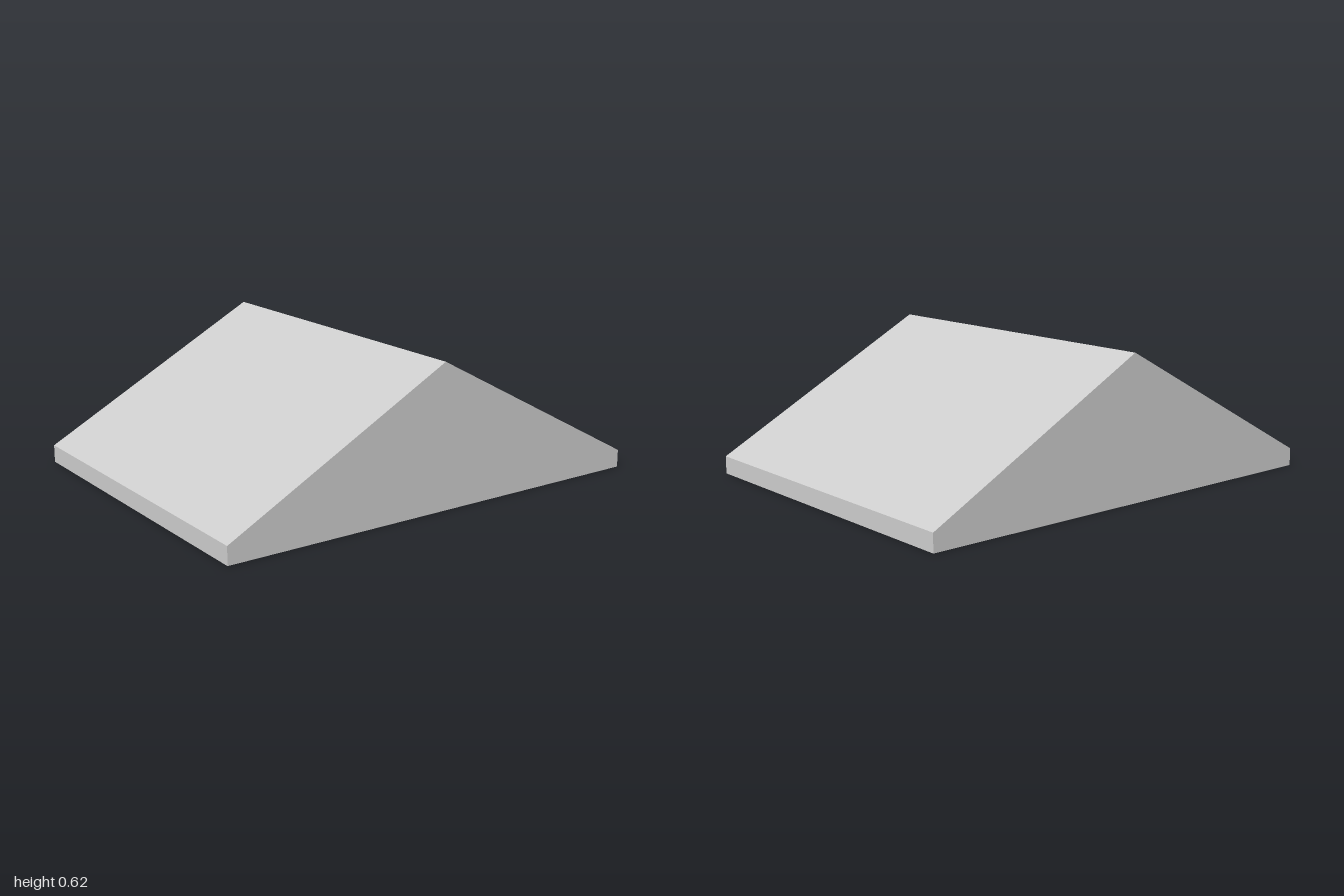
import * as THREE from 'three';

const HALF_WIDTH = 0.75;
// Roof cross-section as [z, y], from the front foot over the ridge to the back foot
const PROFILE = [[1, 0], [1, 0.077], [0, 0.615], [-1, 0.077], [-1, 0]];
const PANELS = ['frontEave', 'frontSlope', 'backSlope', 'backEave'];

export function createModel() {
  const group = new THREE.Group();
  group.name = 'gableRoof';
  const material = new THREE.MeshStandardMaterial({
    color: 0xcccccc, flatShading: true, side: THREE.DoubleSide,
  });
  const add = (name, geometry) => {
    const mesh = new THREE.Mesh(geometry, material);
    mesh.name = name;
    group.add(mesh);
  };

  // Eave strips and slopes: one flat panel per profile segment, open underneath
  PANELS.forEach((name, i) => {
    const [z0, y0] = PROFILE[i];
    const [z1, y1] = PROFILE[i + 1];
    const dz = z1 - z0, dy = y1 - y0;
    const panel = new THREE.PlaneGeometry(2 * HALF_WIDTH, Math.hypot(dz, dy));
    panel.rotateX(Math.atan2(dz, dy));
    panel.translate(0, (y0 + y1) / 2, (z0 + z1) / 2);
    add(name, panel);
  });

  // Gable walls closing both ends
  const outline = new THREE.Shape(PROFILE.map(([z, y]) => new THREE.Vector2(z, y)));
  for (const side of [1, -1]) {
    const gable = new THREE.ShapeGeometry(outline);
    gable.rotateY(side * Math.PI / 2);
    gable.translate(side * HALF_WIDTH, 0, 0);
    add(side > 0 ? 'leftGable' : 'rightGable', gable);
  }

  return group;
}
